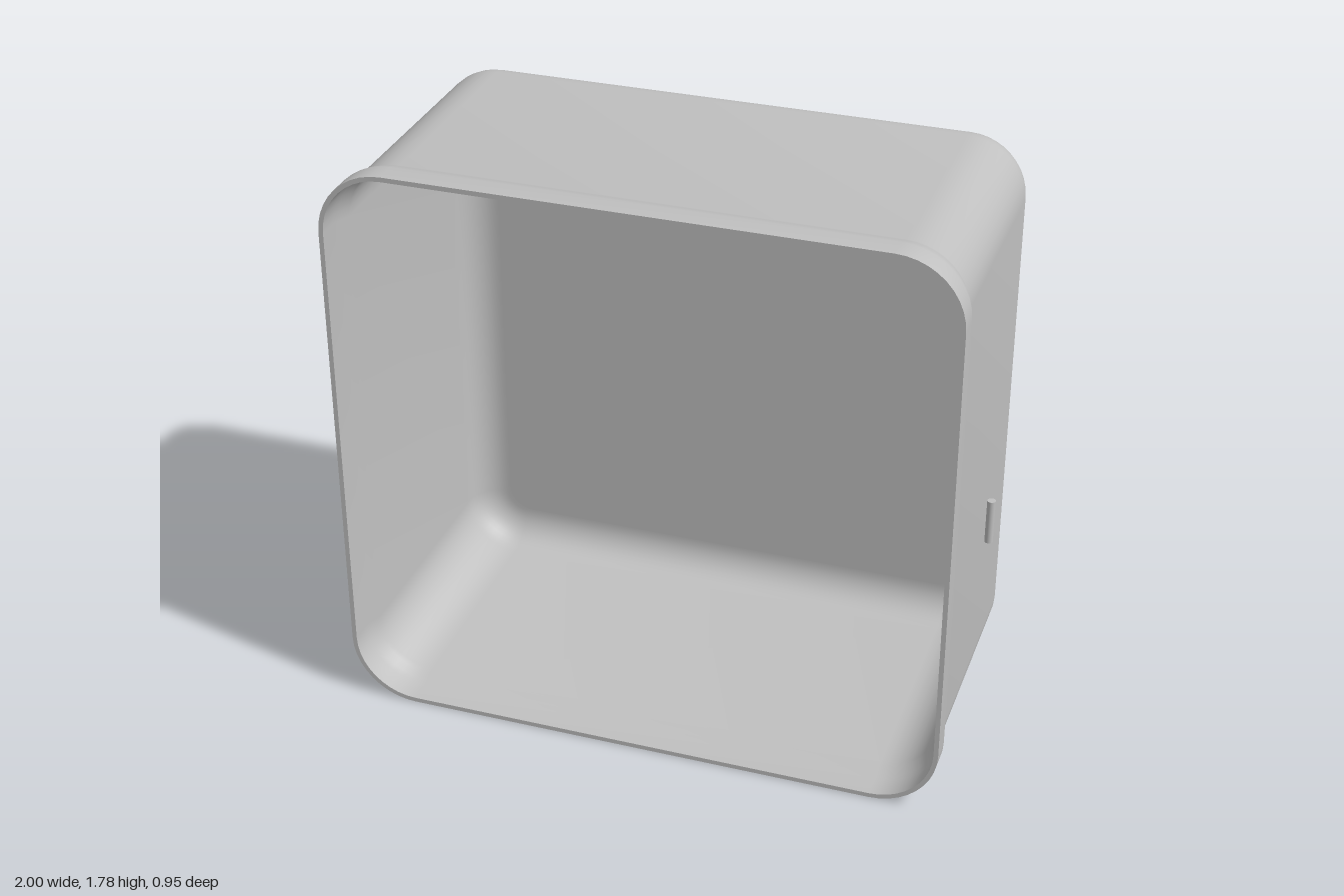
import * as THREE from 'three';
import { toCreasedNormals } from 'three/addons/utils/BufferGeometryUtils.js';

const W = 0.925, H = 0.892; // half size of the rim
const CORNER = 10; // segments per rounded corner

// One rounded-rectangle loop, counter-clockwise seen from the front
function ring(inset, z, r) {
  const pts = [];
  for (let q = 0; q < 4; q++) {
    const sx = q === 0 || q === 3 ? 1 : -1, sy = q < 2 ? 1 : -1;
    for (let k = 0; k <= CORNER; k++) {
      const a = (q + k / CORNER) * Math.PI / 2;
      pts.push([
        sx * (W - inset - r) + r * Math.cos(a),
        sy * (H - inset - r) + r * Math.sin(a), z]);
    }
  }
  return pts;
}

// Rounded edge between back and walls, from back to wall
function fillet(inset, z, radius, cornerR) {
  const out = [], n = 10;
  for (let i = 0; i <= n; i++) {
    const a = (i / n) * Math.PI / 2;
    const d = radius * (1 - Math.sin(a));
    out.push(ring(inset + d, z + radius * (1 - Math.cos(a)), cornerR - d));
  }
  return out;
}

// Skin consecutive loops and close both ends with flat caps
function loft(rings) {
  const n = rings[0].length, pos = rings.flat(2), idx = [];
  for (let i = 0; i < rings.length - 1; i++) {
    for (let j = 0; j < n; j++) {
      const a = i * n + j, b = i * n + (j + 1) % n;
      idx.push(a, b, b + n, a, b + n, a + n);
    }
  }
  const last = (rings.length - 1) * n, c = rings.length * n;
  pos.push(0, 0, rings[0][0][2], 0, 0, rings[rings.length - 1][0][2]);
  for (let j = 0; j < n; j++) {
    const k = (j + 1) % n;
    idx.push(c, k, j, c + 1, last + j, last + k);
  }
  const g = new THREE.BufferGeometry();
  g.setAttribute('position', new THREE.Float32BufferAttribute(pos, 3));
  g.setIndex(idx);
  return toCreasedNormals(g, 0.6);
}

export function createModel() {
  const group = new THREE.Group();
  const grey = new THREE.MeshStandardMaterial({ color: 0xc0c0c0 });
  grey.name = 'grey';

  // Open box: recessed back panel, outer wall, flared rim, inner wall, inner back
  const shell = new THREE.Mesh(loft([
    ring(0.15, -0.465, 0.08),
    ring(0.15, -0.475, 0.08),
    ...fillet(0.02, -0.475, 0.115, 0.18),
    ring(0.02, 0.345, 0.18),
    ring(0.015, 0.36, 0.185),
    ring(0.005, 0.385, 0.195),
    ring(0, 0.405, 0.2),
    ring(0, 0.475, 0.2),
    ring(0.014, 0.475, 0.186),
    ring(0.014, 0.405, 0.186),
    ring(0.019, 0.385, 0.181),
    ring(0.029, 0.36, 0.171),
    ring(0.034, 0.345, 0.166),
    ...fillet(0.034, -0.46, 0.105, 0.166).reverse(),
    ring(0.15, -0.46, 0.08),
    ring(0.15, -0.45, 0.08),
  ]), grey);
  shell.name = 'shell';
  shell.position.y = H;
  group.add(shell);

  // Small upright pins floating beside the walls
  for (const s of [1, -1]) {
    const pin = new THREE.Mesh(new THREE.CylinderGeometry(0.012, 0.012, 0.135, 24), grey);
    pin.name = s > 0 ? 'leftPin' : 'rightPin';
    pin.position.set(s * 0.988, 0.897, 0.275);
    group.add(pin);
  }
  return group;
}
